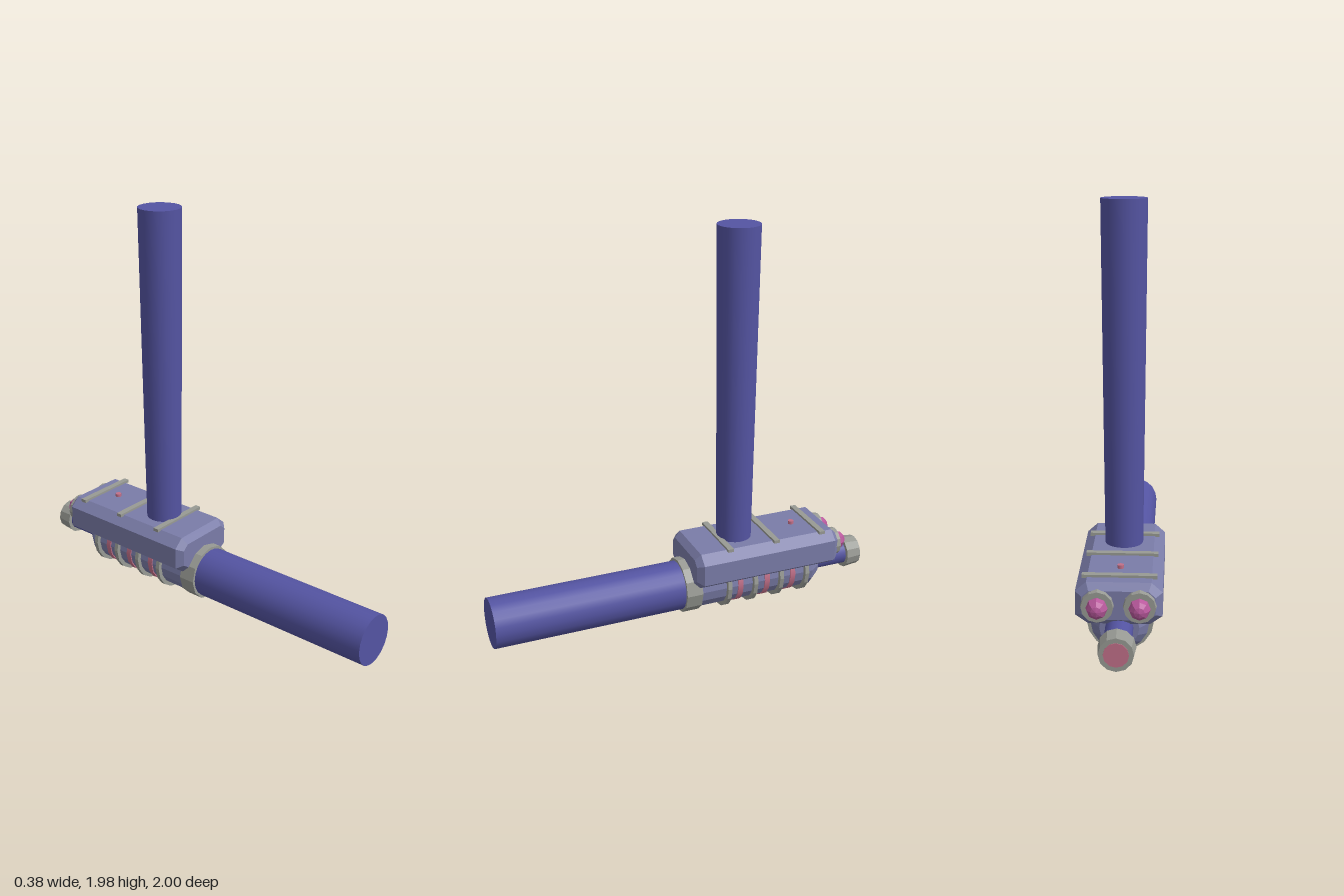
import * as THREE from 'three';

const mat = (name, color, flat = false) => {
  const m = new THREE.MeshStandardMaterial({ color });
  m.name = name;
  m.flatShading = flat;
  return m;
};

export function createModel() {
  const blue = mat('indigo grip', 0x5454a2);
  const slate = mat('slate housing', 0x7a7ca8, true);
  const grey = mat('grey metal', 0x989a94, true);
  const pink = mat('pink glow', 0xc27089);
  const magenta = mat('magenta crystal', 0xb8589c, true);

  const group = new THREE.Group();
  const axisY = 0.154;

  const add = (name, geometry, material, x, y, z) => {
    const mesh = new THREE.Mesh(geometry, material);
    mesh.name = name;
    mesh.position.set(x, y, z);
    group.add(mesh);
    return mesh;
  };

  // Cylinder lying along z from front z0 (radius r0) to back z1 (radius r1)
  const rod = (name, r0, r1, z0, z1, sides, material, x = 0, y = axisY) => {
    const g = new THREE.CylinderGeometry(r0, r1, z0 - z1, sides);
    g.rotateX(Math.PI / 2);
    return add(name, g, material, x, y, (z0 + z1) / 2);
  };

  // Upright handle, slightly wider at the top
  add('uprightHandle', new THREE.CylinderGeometry(0.105, 0.089, 1.62, 20), blue, 0, 1.17, -0.28);

  // Front tube with its collar
  rod('frontTube', 0.125, 0.125, 1, -0.02, 20, blue);
  rod('frontCollar', 0.14, 0.14, 0.03, -0.055, 12, grey);

  // Lower barrel with a tapered rear end
  rod('barrel', 0.13, 0.13, -0.04, -0.68, 16, slate);
  rod('barrelTaper', 0.13, 0.088, -0.68, -0.735, 16, slate);
  for (const z of [-0.2, -0.345, -0.492, -0.638]) {
    rod('barrelRing', 0.151, 0.151, z + 0.011, z - 0.011, 16, grey);
  }
  for (const z of [-0.266, -0.416, -0.562]) {
    rod('glowBand', 0.135, 0.135, z + 0.014, z - 0.014, 16, pink);
  }

  // Rear tube, end cap and glowing end disc
  rod('rearTube', 0.062, 0.062, -0.72, -0.93, 16, blue);
  rod('rearCap', 0.083, 0.076, -0.917, -0.997, 12, grey);
  rod('rearGlow', 0.055, 0.055, -0.993, -1, 12, pink);

  // Upper housing: octagonal section with bevelled ends
  const b = 0.03;
  const half = [[0.125, 0.22], [0.16, 0.245], [0.16, 0.325], [0.13, 0.352]];
  const outline = [...half, ...half.map(([x, y]) => [-x, y]).reverse()];
  const section = new THREE.Shape(outline.map(([x, y]) => new THREE.Vector2(x, y)));
  const housing = new THREE.ExtrudeGeometry(section, {
    depth: 0.73, bevelEnabled: true, bevelThickness: b, bevelSize: b, bevelSegments: 1,
  });
  add('upperHousing', housing, slate, 0, 0, -0.77);

  // Bars across the top, and the indicator
  for (const z of [-0.192, -0.447, -0.705]) {
    add('topBar', new THREE.BoxGeometry(0.33, 0.016, 0.03), grey, 0, 0.385, z);
  }
  add('indicator', new THREE.CylinderGeometry(0.015, 0.015, 0.016, 8), pink, 0, 0.39, -0.608);

  // Pair of rear sockets holding faceted crystals
  for (const side of [-1, 1]) {
    const x = side * 0.092;
    rod('rearSocket', 0.075, 0.07, -0.78, -0.822, 12, grey, x, 0.286);
    const crystal = new THREE.SphereGeometry(0.048, 8, 6);
    crystal.rotateX(Math.PI / 2);
    add('rearCrystal', crystal, magenta, x, 0.286, -0.829);
  }

  return group;
}
